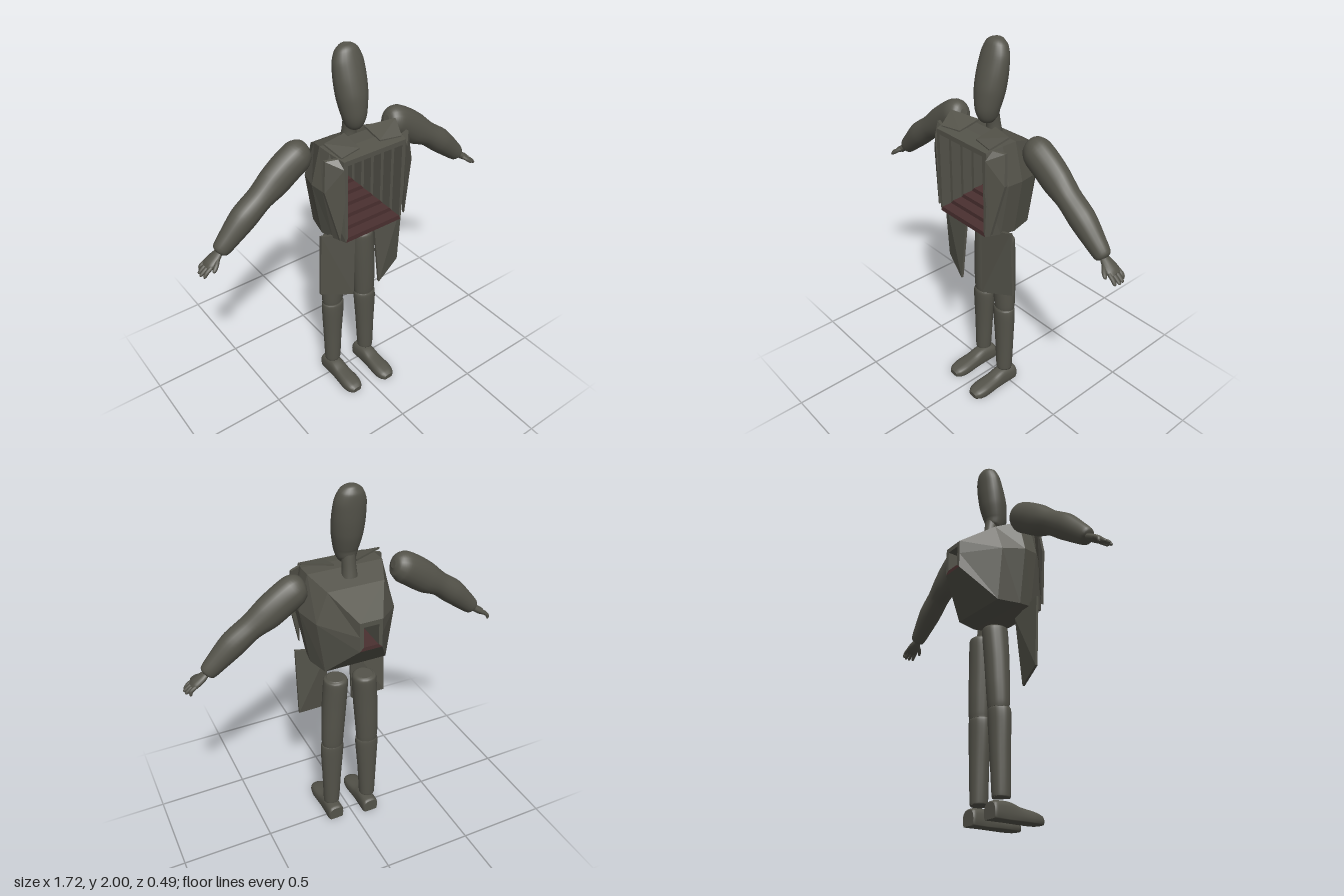
import * as THREE from 'three';
import { ConvexGeometry } from 'three/addons/geometries/ConvexGeometry.js';

const clay = new THREE.MeshStandardMaterial({ color: 0x54534a });
clay.name = 'olive grey';
const maroon = new THREE.MeshStandardMaterial({ color: 0x4a3030 });
maroon.name = 'dark maroon';

const V = (x, y, z) => new THREE.Vector3(x, y, z);

function add(parent, name, geometry, material = clay) {
  const mesh = new THREE.Mesh(geometry, material);
  mesh.name = name;
  parent.add(mesh);
  return mesh;
}

// Skin a list of closed rings; flat gives faceted faces, cols limits the strips used
function loft(rings, { caps = false, flat = false, cols = null } = {}) {
  const n = rings[0].length, pos = [], index = [];
  const put = p => pos.push(p.x, p.y, p.z) / 3 - 1;
  rings.flat().forEach(put);
  for (let i = 0; i < rings.length - 1; i++) {
    for (let j = 0; j < n; j++) {
      if (cols && !cols.includes(j)) continue;
      const k = (j + 1) % n, a = i * n, b = a + n;
      index.push(a + j, a + k, b + k, a + j, b + k, b + j);
    }
  }
  if (caps) {
    [rings[0], rings[rings.length - 1]].forEach((ring, end) => {
      const c = put(ring.reduce((s, p) => s.add(p), V(0, 0, 0)).divideScalar(n));
      const ids = ring.map(put);
      ids.forEach((id, j) => {
        const next = ids[(j + 1) % n];
        index.push(c, ...(end ? [id, next] : [next, id]));
      });
    });
  }
  let g = new THREE.BufferGeometry();
  g.setAttribute('position', new THREE.Float32BufferAttribute(pos, 3));
  g.setIndex(index);
  if (flat) g = g.toNonIndexed();
  g.computeVertexNormals();
  return g;
}

// Smooth limb through points [x, y, z, radius across, radius in depth]
function limb(points, { ref = V(0, 0, 1), steps = 28, sides = 18, power = 1, floor = -1 } = {}) {
  const path = new THREE.CatmullRomCurve3(points.map(p => V(p[0], p[1], p[2])), false, 'catmullrom', 0.4);
  const size = new THREE.CatmullRomCurve3(points.map(p => V(p[3], p[4] ?? p[3], 0)), false, 'catmullrom', 0.4);
  const round = v => Math.sign(v) * Math.abs(v) ** power;
  const rings = [];
  for (let i = 0; i <= steps; i++) {
    const t = i / steps, c = path.getPoint(t), r = size.getPoint(t), T = path.getTangent(t);
    const N = ref.clone().cross(T).normalize(), B = T.clone().cross(N);
    rings.push(Array.from({ length: sides }, (_, j) => {
      const a = j / sides * Math.PI * 2;
      const p = c.clone().addScaledVector(N, round(Math.cos(a)) * r.x).addScaledVector(B, round(Math.sin(a)) * r.y);
      p.y = Math.max(p.y, floor);
      return p;
    }));
  }
  return loft(rings, { caps: true });
}

// Thin faceted plate through corner points, thickened along one direction
function plate(side, corners, offset) {
  const pts = corners.flatMap(([x, y, z]) => [V(side * x, y, z).add(offset), V(side * x, y, z).sub(offset)]);
  return new ConvexGeometry(pts);
}

// Six-cornered chest section at depth z
const section = (z, wTop, wMid, wBot, yTop, yMid, yBot) => [
  V(wTop, yTop, z), V(wMid, yMid, z), V(wBot, yBot, z),
  V(-wBot, yBot, z), V(-wMid, yMid, z), V(-wTop, yTop, z)];

function buildTorso() {
  const g = new THREE.Group();
  g.name = 'torso';
  const shell = [
    section(0.205, 0.18, 0.185, 0.17, 1.555, 1.33, 1.10),
    section(0.12, 0.20, 0.245, 0.19, 1.57, 1.38, 1.09),
    section(0.04, 0.20, 0.25, 0.20, 1.57, 1.38, 1.08),
    section(-0.08, 0.15, 0.21, 0.17, 1.52, 1.36, 1.08),
    section(-0.245, 0.06, 0.06, 0.06, 1.415, 1.34, 1.26)];
  add(g, 'chestShell', loft(shell, { flat: true }));

  // Stepped square tunnel running from the back opening to the front frame
  const tunnel = [shell[4]], count = 8;
  for (let i = 0; i < count; i++) {
    const f = i / (count - 1), w = 0.04 + 0.12 * f;
    for (const k of [i, i + 1]) {
      tunnel.push(section(-0.245 + 0.45 * k / count, w, w, w, 1.39 + 0.14 * f, 1.335, 1.28 - 0.155 * f));
    }
  }
  tunnel.push(shell[0]);
  add(g, 'tunnelWalls', loft(tunnel, { flat: true, cols: [0, 1, 3, 4, 5] }));
  add(g, 'tunnelFloor', loft(tunnel, { flat: true, cols: [2] }), maroon);

  for (const s of [1, -1]) {
    const side = s > 0 ? 'left' : 'right';
    add(g, side + 'ChestPlate', plate(s, [
      [0.19, 1.56, 0.165], [0.245, 1.555, 0.14], [0.262, 1.40, 0.155],
      [0.20, 1.12, 0.19], [0.18, 1.35, 0.205], [0.185, 1.52, 0.205]], V(0, 0, 0.008)));
    add(g, side + 'CollarPlate', plate(s, [
      [0.06, 1.565, 0.16], [0.175, 1.56, 0.18], [0.21, 1.605, 0.09], [0.06, 1.59, 0.04]], V(0, 0.005, 0)));
    add(g, side + 'HipPlate', plate(s, [
      [0.255, 1.12, 0.11], [0.06, 1.07, 0.125], [0.085, 0.69, 0.147], [0.255, 0.735, 0.09]], V(0, 0, 0.007)));
  }
  return g;
}

function buildHead() {
  const g = new THREE.Group();
  g.name = 'head';
  add(g, 'skull', limb([
    [0, 1.605, 0.02, 0.025, 0.02], [0, 1.63, 0.03, 0.047, 0.052], [0, 1.68, 0.036, 0.063, 0.064],
    [0, 1.76, 0.022, 0.078, 0.073], [0, 1.84, 0.005, 0.083, 0.069], [0, 1.92, -0.012, 0.079, 0.058],
    [0, 1.97, -0.022, 0.06, 0.046], [0, 1.992, -0.027, 0.035, 0.028], [0, 2.0, -0.028, 0.01, 0.01]],
  { steps: 40, sides: 24 }));
  add(g, 'neck', limb([[0, 1.54, -0.005, 0.04], [0, 1.59, 0, 0.035], [0, 1.65, 0.01, 0.036]], { steps: 6 }));
  return g;
}

function buildArm(s) {
  const g = new THREE.Group();
  g.name = s > 0 ? 'leftArm' : 'rightArm';
  const m = pts => pts.map(([x, ...rest]) => [s * x, ...rest]);
  add(g, 'armSegment', limb(m([
    [0.235, 1.555, -0.01, 0.02, 0.02], [0.25, 1.55, -0.01, 0.058, 0.05], [0.29, 1.532, -0.01, 0.08, 0.07],
    [0.36, 1.487, -0.01, 0.083, 0.07], [0.43, 1.437, -0.008, 0.08, 0.067], [0.51, 1.385, -0.003, 0.063, 0.062],
    [0.60, 1.318, 0, 0.066, 0.062], [0.68, 1.246, 0.002, 0.054, 0.05], [0.735, 1.195, 0.003, 0.042, 0.038],
    [0.748, 1.183, 0.003, 0.015, 0.015]]), { steps: 44 }));
  add(g, 'palm', limb(m([
    [0.735, 1.195, 0.003, 0.014, 0.02], [0.765, 1.172, 0.004, 0.019, 0.033],
    [0.80, 1.15, 0.006, 0.018, 0.04], [0.82, 1.138, 0.006, 0.01, 0.036]]), { steps: 12, sides: 12 }));
  // Four fingers, the middle ones longest
  for (let i = 0; i < 4; i++) {
    const z = -0.024 + i * 0.02, reach = [0.84, 0.855, 0.858, 0.85][i];
    add(g, 'finger', limb(m([
      [0.805, 1.147, z, 0.01], [0.83, 1.13, z * 1.05, 0.01],
      [reach - 0.005, 1.113, z * 1.1, 0.008], [reach, 1.108, z * 1.1, 0.003]]), { steps: 8, sides: 8 }));
  }
  add(g, 'thumb', limb(m([
    [0.765, 1.17, 0.025, 0.011], [0.785, 1.155, 0.048, 0.011], [0.805, 1.138, 0.06, 0.009], [0.81, 1.134, 0.063, 0.003]]),
  { steps: 8, sides: 8 }));
  return g;
}

function buildLeg(s) {
  const g = new THREE.Group();
  g.name = s > 0 ? 'leftLeg' : 'rightLeg';
  const m = pts => pts.map(([x, ...rest]) => [s * x, ...rest]);
  add(g, 'thigh', limb(m([
    [0.098, 0.53, 0.006, 0.058, 0.05], [0.098, 0.56, 0.006, 0.061, 0.053], [0.094, 0.65, 0.006, 0.064, 0.058],
    [0.085, 0.80, 0.006, 0.067, 0.063], [0.077, 0.92, 0.004, 0.066, 0.067], [0.075, 0.955, 0.004, 0.062, 0.065],
    [0.075, 0.967, 0.004, 0.045, 0.05]])));
  add(g, 'calf', limb(m([
    [0.107, 0.105, 0.012, 0.043, 0.042], [0.107, 0.12, 0.012, 0.046, 0.045], [0.104, 0.30, 0.01, 0.054, 0.049],
    [0.10, 0.47, 0.01, 0.064, 0.054], [0.098, 0.52, 0.01, 0.063, 0.054], [0.098, 0.535, 0.01, 0.055, 0.05]])));
  add(g, 'foot', limb(m([
    [0.104, 0.03, -0.052, 0.042, 0.045], [0.104, 0.03, -0.035, 0.047, 0.055], [0.104, 0.03, 0.04, 0.045, 0.058],
    [0.104, 0.025, 0.10, 0.047, 0.045], [0.104, 0.02, 0.18, 0.052, 0.038], [0.104, 0.017, 0.225, 0.045, 0.03],
    [0.104, 0.015, 0.248, 0.028, 0.018]]), { ref: V(0, 1, 0), power: 0.7, floor: 0 }));
  // The right leg stands slightly further back
  g.position.z = s > 0 ? 0 : -0.03;
  return g;
}

export function createModel() {
  const model = new THREE.Group();
  model.name = 'mannequin';
  model.add(buildHead(), buildTorso());
  for (const s of [1, -1]) model.add(buildArm(s), buildLeg(s));
  return model;
}
